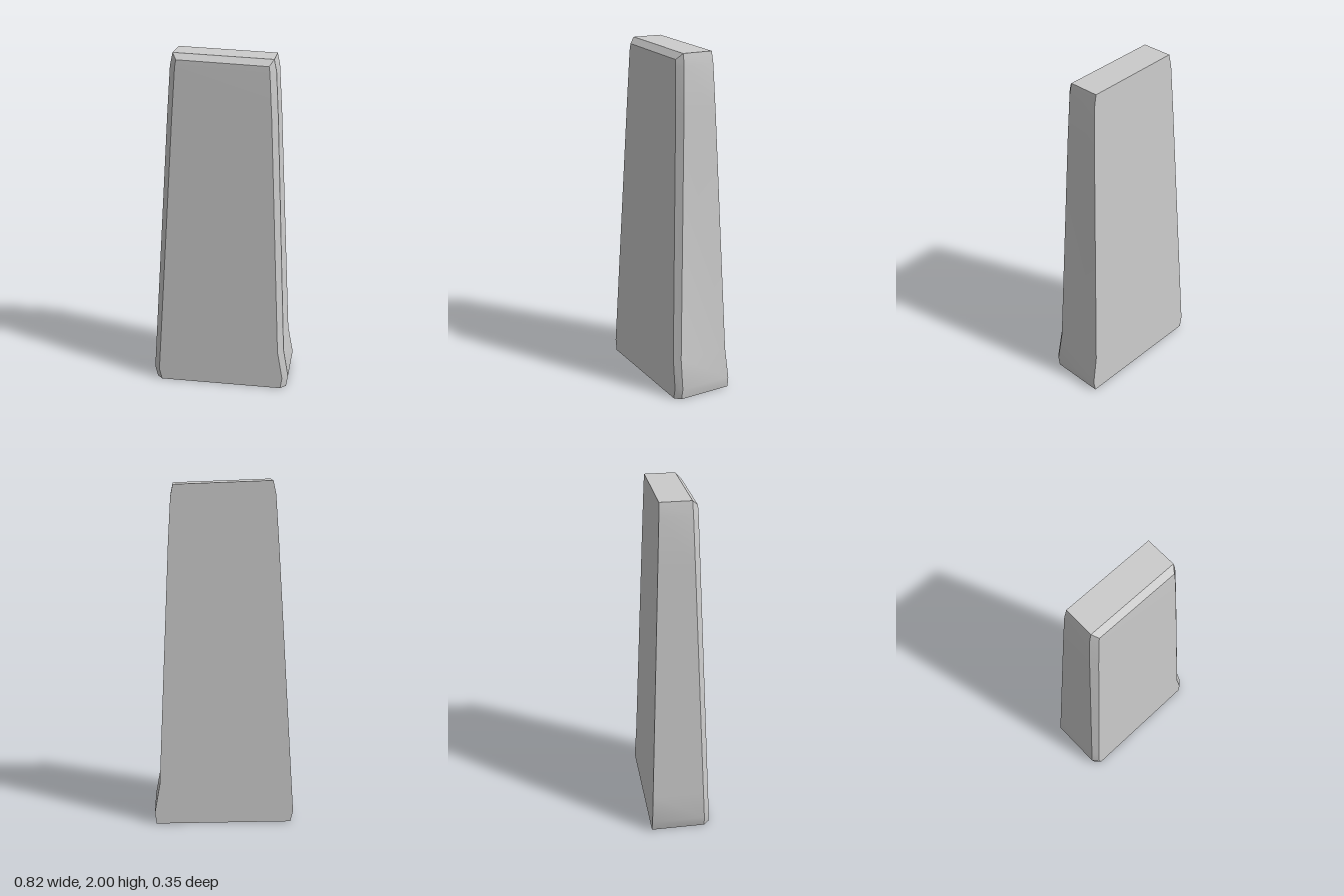
import * as THREE from 'three';
import { toCreasedNormals } from 'three/addons/utils/BufferGeometryUtils.js';

// Outline levels from base to top: [left x, left y, right x, right y]
const LEVELS = [
  [-0.394, 0, 0.4, 0],
  [-0.41, 0.065, 0.41, 0.065],
  [-0.399, 0.24, 0.379, 0.24],
  [-0.312, 1.65, 0.314, 1.65],
  [-0.293, 1.925, 0.298, 1.915],
  [-0.277, 2, 0.284, 1.98],
];
const BEVEL = 0.033;

// Six-cornered section: square at the back, bevelled at the front
function section([xl, yl, xr, yr], isTop) {
  const depth = (y) => 0.175 - 0.035 * y;
  const drop = isTop ? BEVEL : 0; // the front bevel also runs along the top edge
  const inset = isTop ? 0.024 : BEVEL;
  return [
    [xl, yl, -depth(yl)],
    [xr, yr, -depth(yr)],
    [xr, yr, depth(yr) - BEVEL],
    [xr - inset, yr - drop, depth(yr)],
    [xl + inset, yl - drop, depth(yl)],
    [xl, yl, depth(yl) - BEVEL],
  ];
}

function slabGeometry() {
  const points = LEVELS.flatMap((level, i) => section(level, i === LEVELS.length - 1));
  const index = [];
  const quad = (a, b, c, d) => index.push(a, b, c, a, c, d);

  // Walls between neighbouring sections
  for (let k = 0; k < LEVELS.length - 1; k++) {
    for (let i = 0; i < 6; i++) {
      const a = k * 6 + i;
      const b = k * 6 + ((i + 1) % 6);
      quad(a, a + 6, b + 6, b);
    }
  }

  // Top face, sloping top bevel, and underside
  const t = (LEVELS.length - 1) * 6;
  quad(t, t + 5, t + 2, t + 1);
  quad(t + 5, t + 4, t + 3, t + 2);
  quad(0, 1, 2, 5);
  quad(5, 2, 3, 4);

  const geometry = new THREE.BufferGeometry();
  geometry.setAttribute('position', new THREE.Float32BufferAttribute(points.flat(), 3));
  geometry.setIndex(index);
  return toCreasedNormals(geometry, 0.4);
}

export function createModel() {
  const group = new THREE.Group();
  group.name = 'taperedSlab';
  const slab = new THREE.Mesh(slabGeometry(), new THREE.MeshStandardMaterial({ color: 0xcccccc }));
  slab.name = 'slab';
  group.add(slab);
  return group;
}
